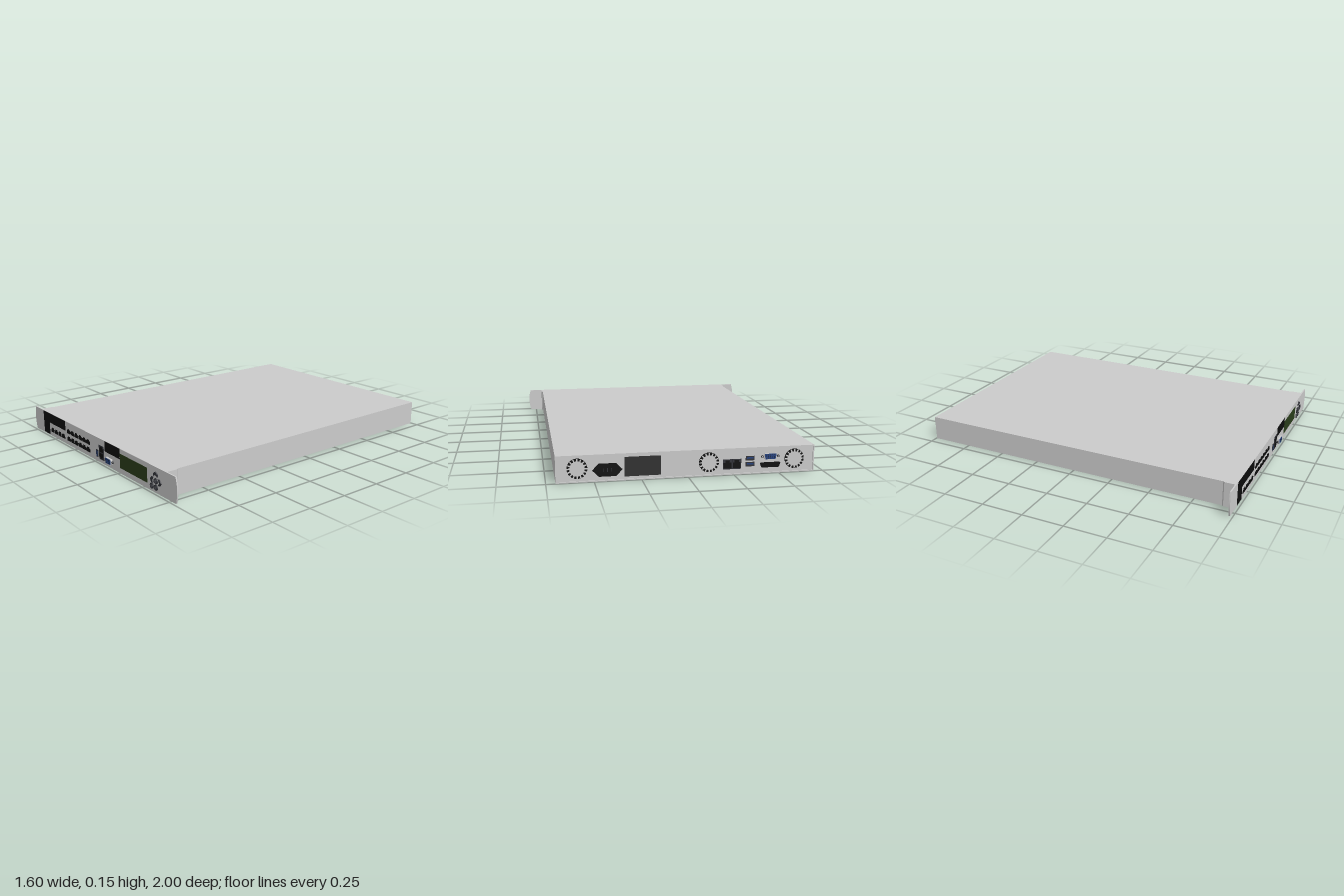
import * as THREE from 'three';

const H = 0.146, W = 0.7;
const mats = {};
const mat = (color = 0xcccccc) => (mats[color] ??= new THREE.MeshStandardMaterial({ color }));
const GREY = 0xcccccc, BLACK = 0x0d0d0d, DARK = 0x33343a, BLUE = 0x24427f, GREEN = 0x2a3d1b;

function add(parent, name, geometry, color, x = 0, y = 0, z = 0) {
  const mesh = new THREE.Mesh(geometry, mat(color));
  mesh.name = name;
  mesh.position.set(x, y, z);
  parent.add(mesh);
  return mesh;
}

// Box given by its extents
function block(parent, name, color, x0, x1, y0, y1, z0, z1) {
  return add(parent, name, new THREE.BoxGeometry(x1 - x0, y1 - y0, z1 - z0), color,
    (x0 + x1) / 2, (y0 + y1) / 2, (z0 + z1) / 2);
}

const outline = (pts) => new THREE.Shape(pts.map(([x, y]) => new THREE.Vector2(x, y)));
const extrude = (shape, depth) =>
  new THREE.ExtrudeGeometry(shape, { depth, bevelEnabled: false, curveSegments: 20 });

// Network socket outline: rectangle with a latch notch on top
const socketShape = (w, h) => outline([
  [-w / 2, -h / 2], [w / 2, -h / 2], [w / 2, h * 0.22], [w * 0.28, h * 0.22],
  [w * 0.28, h / 2], [-w * 0.28, h / 2], [-w * 0.28, h * 0.22], [-w / 2, h * 0.22]]);

// D-shaped connector outline
const dShape = (w, h) => outline([
  [-w * 0.42, -h / 2], [w * 0.42, -h / 2], [w / 2, h * 0.3], [w * 0.46, h / 2],
  [-w * 0.46, h / 2], [-w / 2, h * 0.3]]);

function disc(parent, name, color, x, y, z, r, depth, sides = 20) {
  const g = new THREE.CylinderGeometry(r, r, depth, sides).rotateX(Math.PI / 2);
  return add(parent, name, g, color, x, y, z + depth / 2);
}

// Video connector with shell, insert, pin holes and two hex screws
function videoPort(parent, x, y, w, h, depth) {
  const port = new THREE.Group();
  port.name = 'videoPort';
  port.position.set(x, y, 0);
  parent.add(port);
  add(port, 'shell', extrude(dShape(w, h), depth * 0.8), GREY);
  add(port, 'insert', extrude(dShape(w * 0.92, h * 0.88), depth * 0.95), BLUE);
  for (let row = -1; row <= 1; row++)
    for (let i = -2; i <= 2; i++)
      disc(port, 'pinHole', BLACK, i * w * 0.15, row * h * 0.25, depth * 0.9, h * 0.06, depth * 0.1, 6);
  for (const s of [-1, 1]) {
    disc(port, 'screw', DARK, s * w * 0.62, 0, 0, h * 0.22, depth * 0.7, 6);
    disc(port, 'screwHole', GREY, s * w * 0.62, 0, 0, h * 0.12, depth * 0.75, 10);
  }
}

function buildFront(front) {
  // Bays and display
  block(front, 'sideBay', BLACK, -0.677, -0.6, 0.004, 0.145, -0.005, 0.001);
  block(front, 'upperBay', BLACK, -0.6, -0.385, 0.083, 0.145, -0.005, 0.001);
  block(front, 'centreBay', BLACK, 0.092, 0.254, 0.083, 0.145, -0.005, 0.001);
  block(front, 'display', GREEN, 0.256, 0.528, 0.032, 0.117, -0.005, 0.001);

  // Network sockets
  const socket = extrude(socketShape(0.041, 0.028), 0.002);
  for (let i = 0; i < 4; i++) add(front, 'networkSocket', socket, BLACK, -0.56 + i * 0.048, 0.041);
  for (let i = 0; i < 6; i++)
    for (const y of [0.041, 0.088]) add(front, 'networkSocket', socket, BLACK, -0.342 + i * 0.048, y);

  // Serial port, stacked sockets and video port
  block(front, 'usbPort', DARK, -0.006, 0.016, 0.027, 0.071, -0.005, 0.003);
  block(front, 'usbTongue', BLUE, -0.001, 0.008, 0.031, 0.067, -0.005, 0.004);
  block(front, 'stackedSocketFrame', DARK, 0.028, 0.08, 0.022, 0.106, -0.005, 0.003);
  const stacked = extrude(socketShape(0.038, 0.032), 0.001);
  add(front, 'stackedSocket', stacked, BLACK, 0.054, 0.084, 0.003);
  add(front, 'stackedSocket', stacked, BLACK, 0.054, 0.044, 0.003).rotation.z = Math.PI;
  videoPort(front, 0.142, 0.041, 0.062, 0.034, 0.015);

  // Keypad: round keys and chevron arrow keys
  for (const [x, y] of [[0.613, 0.068], [0.613, 0.032], [0.575, 0.032]]) {
    disc(front, 'roundKey', DARK, x, y, 0, 0.016, 0.006, 12);
    disc(front, 'keyCap', 0x55565e, x, y, 0.006, 0.010, 0.001, 12);
  }
  const arrow = extrude(outline([[-0.017, -0.013], [0, -0.003], [0.017, -0.013], [0.017, 0.002],
    [0, 0.015], [-0.017, 0.002]]), 0.006);
  for (const [x, y, turn] of [[0.613, 0.107, 0], [0.577, 0.068, 1], [0.65, 0.068, -1]])
    add(front, 'arrowKey', arrow, DARK, x, y).rotation.z = turn * Math.PI / 2;
}

// Rear local x runs opposite to the model's x
function buildRear(rear) {
  // Round vents: dark ring with radial ribs around a grey hub
  for (const x of [-0.588, 0.113, 0.588]) {
    const vent = new THREE.Group();
    vent.name = 'fanVent';
    vent.position.set(x, 0.074, 0);
    rear.add(vent);
    disc(vent, 'ventRing', BLACK, 0, 0, 0, 0.054, 0.005, 32);
    disc(vent, 'ventHub', GREY, 0, 0, 0, 0.04, 0.008, 32);
    for (let i = 0; i < 16; i++) {
      const a = i * Math.PI / 8;
      const rib = add(vent, 'ventRib', new THREE.BoxGeometry(0.014, 0.007, 0.008), GREY,
        Math.cos(a) * 0.046, Math.sin(a) * 0.046, 0.004);
      rib.rotation.z = a;
    }
  }

  // Power inlet and dark panel
  add(rear, 'powerInlet', extrude(outline([[-0.08, 0], [-0.045, -0.035], [0.045, -0.035], [0.08, 0],
    [0.045, 0.035], [-0.045, 0.035]]), 0.003), BLACK, -0.43, 0.06);
  for (const dx of [-0.022, 0, 0.022])
    block(rear, 'inletPin', DARK, -0.432 + dx, -0.428 + dx, 0.05, 0.07, 0, 0.005);
  block(rear, 'powerPanel', 0x303030, -0.34, -0.148, 0.02, 0.125, -0.002, 0.003);

  // Network sockets, USB stack and connectors
  for (const x of [0.215, 0.266]) {
    block(rear, 'socketFrame', DARK, x - 0.025, x + 0.025, 0.03, 0.085, -0.002, 0.002);
    add(rear, 'networkSocket', extrude(socketShape(0.042, 0.044), 0.001), BLACK, x, 0.057, 0.002);
  }
  for (const y of [0.053, 0.086]) {
    block(rear, 'usbPort', DARK, 0.316, 0.364, y - 0.012, y + 0.012, -0.002, 0.003);
    block(rear, 'usbTongue', BLUE, 0.322, 0.358, y - 0.002, y + 0.006, -0.002, 0.004);
  }
  videoPort(rear, 0.453, 0.092, 0.072, 0.034, 0.008);
  add(rear, 'serialConnector', extrude(dShape(0.115, 0.028), 0.004), BLACK, 0.453, 0.045);
}

export function createModel() {
  const model = new THREE.Group();
  model.name = 'rackUnit';

  // Case with a shallow rim around the rear panel
  block(model, 'case', GREY, -W, W, 0, H, -0.991, 0.977);
  const rim = outline([[-W, 0], [W, 0], [W, H], [-W, H]]);
  const t = 0.006;
  rim.holes.push(outline([[-W + t, t], [-W + t, H - t], [W - t, H - t], [W - t, t]]));
  add(model, 'rearRim', extrude(rim, 0.006), GREY, 0, 0, -0.997);

  // Face plate with bowed ends
  const plate = new THREE.Shape();
  plate.moveTo(-0.788, 0);
  plate.lineTo(0.788, 0);
  plate.quadraticCurveTo(0.812, H / 2, 0.788, H);
  plate.lineTo(-0.788, H);
  plate.quadraticCurveTo(-0.812, H / 2, -0.788, 0);
  add(model, 'facePlate', extrude(plate, 0.008), GREY, 0, 0, 0.977);

  // Mounting brackets, tapering into the case sides
  const bracket = extrude(outline([[0, 0], [0.007, 0.008], [0.007, 0.067], [0, 0.067]]), H);
  bracket.rotateX(-Math.PI / 2).scale(1, 1, -1);
  const index = [...Array(bracket.attributes.position.count).keys()];
  for (let i = 0; i < index.length; i += 3) [index[i], index[i + 1]] = [index[i + 1], index[i]];
  bracket.setIndex(index);
  bracket.computeVertexNormals();
  add(model, 'leftBracket', bracket, GREY, W, 0, 0.91);
  const mirrored = extrude(outline([[0, 0], [0, 0.067], [-0.007, 0.067], [-0.007, 0.008]]), H);
  mirrored.rotateX(Math.PI / 2);
  add(model, 'rightBracket', mirrored, GREY, -W, H, 0.91);

  const front = new THREE.Group();
  front.name = 'frontControls';
  front.position.z = 0.985;
  buildFront(front);

  const rear = new THREE.Group();
  rear.name = 'rearControls';
  rear.position.z = -0.991;
  rear.rotation.y = Math.PI;
  buildRear(rear);

  model.add(front, rear);
  return model;
}
